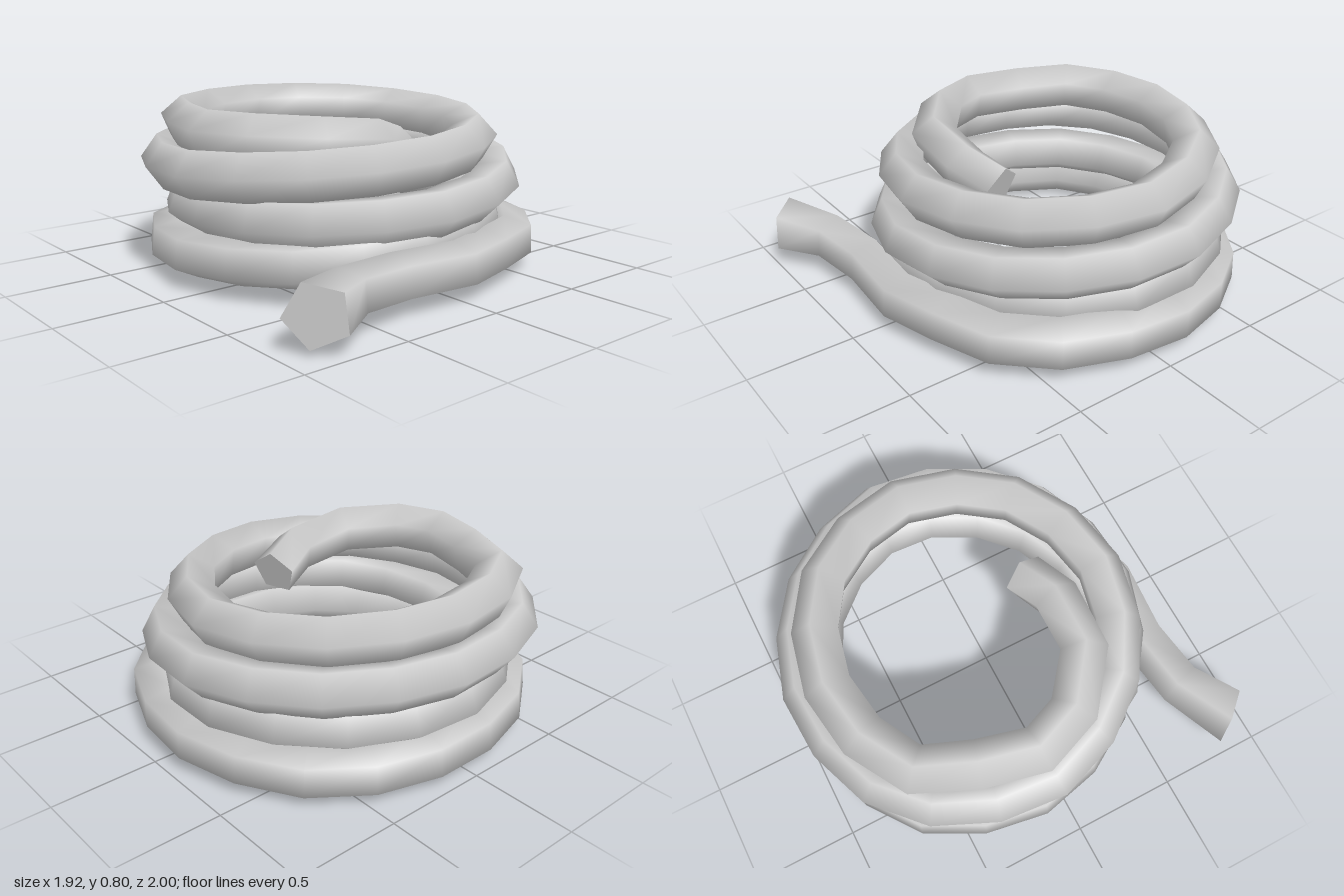
import * as THREE from 'three';

const SIDES = 5, RADIUS = 0.115, COIL_RINGS = 65;

// Radius and height of the coil every eighth of a turn, starting at the front and going right
const eighths = [
  [0.86, 0.145], [0.88, 0.145], [0.835, 0.14], [0.80, 0.115], [0.775, 0.12], [0.825, 0.135], [0.80, 0.15], [0.76, 0.18],
  [0.715, 0.23], [0.715, 0.255], [0.745, 0.285], [0.735, 0.30], [0.73, 0.30], [0.73, 0.31], [0.72, 0.33], [0.76, 0.355],
  [0.78, 0.385], [0.79, 0.43], [0.805, 0.47], [0.78, 0.495], [0.795, 0.51], [0.835, 0.515], [0.81, 0.525], [0.735, 0.56],
  [0.69, 0.595], [0.67, 0.62], [0.675, 0.64], [0.67, 0.67], [0.69, 0.685], [0.75, 0.685], [0.715, 0.685],
];

// Centre line: loose outer tail, four stacked turns, inward-turned end
function ropePath() {
  const v = (x, y, z) => new THREE.Vector3(x, y, z);
  const coil = new THREE.CatmullRomCurve3(eighths.map(([r, y], i) => {
    const a = i * Math.PI / 4;
    return v(0.03 + r * Math.sin(a), y, -0.1 + r * Math.cos(a));
  }));
  return [
    v(-0.87, 0.165, 0.905), v(-0.62, 0.16, 0.775), v(-0.32, 0.15, 0.733),
    ...coil.getSpacedPoints(COIL_RINGS),
    v(-0.6, 0.685, 0.12), v(-0.37, 0.67, 0.305), v(-0.08, 0.635, 0.325), v(0.11, 0.575, 0.26),
  ];
}

// Pentagonal rings along the path: the section untwists along the tail, then twists as the coil climbs
function ropeRings(path) {
  const up = new THREE.Vector3(0, 1, 0);
  return path.map((p, i) => {
    const t = path[Math.min(i + 1, path.length - 1)].clone().sub(path[Math.max(i - 1, 0)]);
    if (i === 0) t.set(0.75, 0, -0.66); // slanted cut on the tail
    t.normalize();
    const out = t.clone().cross(up).normalize();
    const lift = out.clone().cross(t);
    const r = i === 0 ? 0.14 : RADIUS;
    const twist = Math.PI + THREE.MathUtils.degToRad(0.85) * Math.abs(i - 8);
    return Array.from({ length: SIDES }, (_, j) => {
      const a = twist + j / SIDES * Math.PI * 2;
      return p.clone().addScaledVector(out, r * Math.cos(a)).addScaledVector(lift, r * Math.sin(a));
    });
  });
}

function geometry(points, index) {
  const g = new THREE.BufferGeometry().setFromPoints(points);
  g.setIndex(index);
  g.computeVertexNormals();
  return g;
}

export function createModel() {
  const group = new THREE.Group();
  group.name = 'coiledRope';
  const material = new THREE.MeshStandardMaterial({ color: 0xcccccc });
  const add = (name, g) => {
    const mesh = new THREE.Mesh(g, material);
    mesh.name = name;
    group.add(mesh);
  };
  const rings = ropeRings(ropePath());

  // Rope skin
  const index = [];
  for (let i = 0; i < rings.length - 1; i++) {
    for (let j = 0; j < SIDES; j++) {
      const k = (j + 1) % SIDES;
      const a = i * SIDES + j, b = a + SIDES, d = i * SIDES + k, c = d + SIDES;
      index.push(a, b, c, a, c, d);
    }
  }
  add('rope', geometry(rings.flat(), index));

  // Flat cut ends
  const fan = [];
  for (let j = 1; j < SIDES - 1; j++) fan.push(0, j, j + 1);
  add('tailCap', geometry(rings[0], fan));
  add('innerCap', geometry(rings[rings.length - 1], [...fan].reverse()));
  return group;
}
